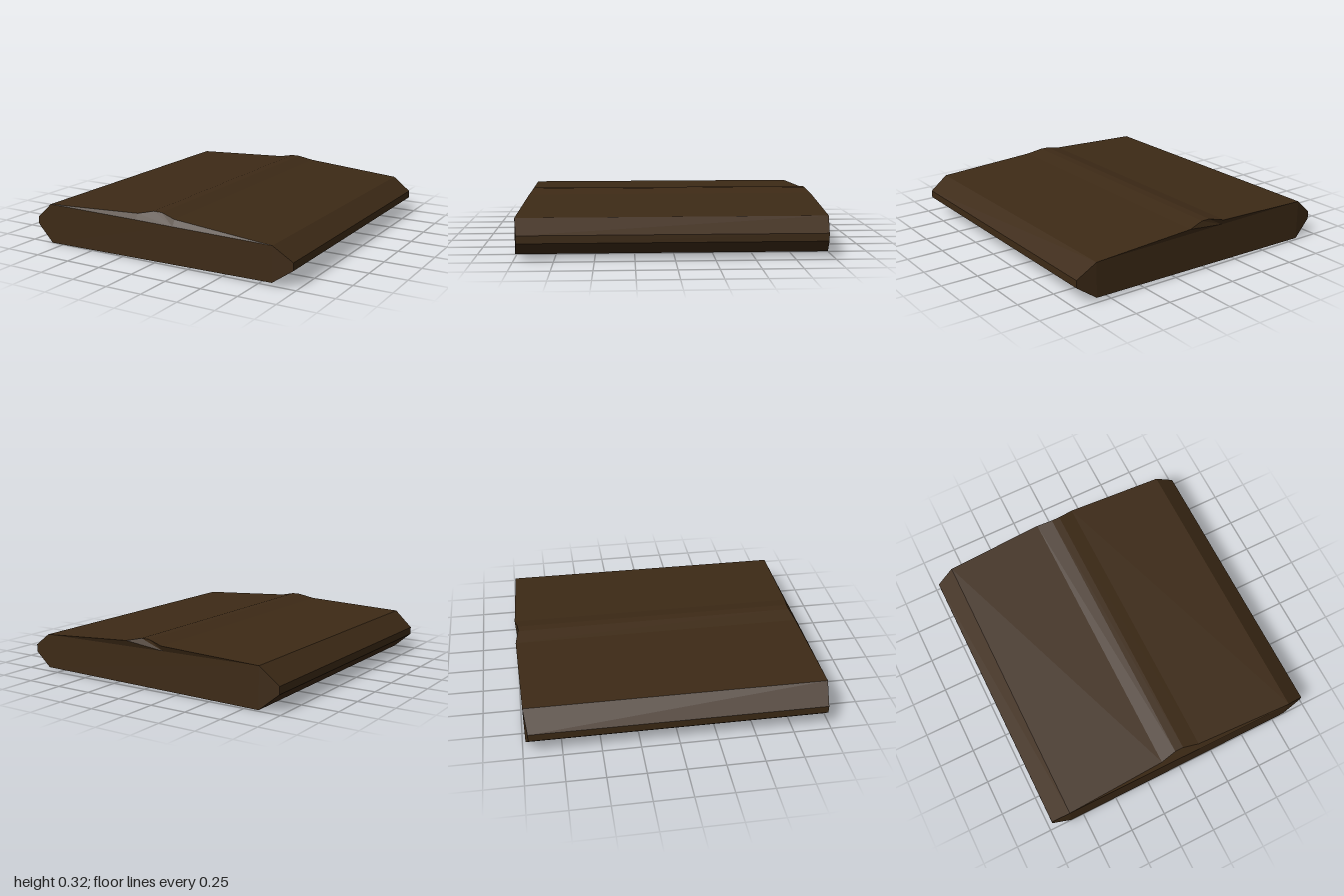
import * as THREE from 'three';

// Outline of the slab, counter-clockwise from the front: x, y, front z, back z
const OUTLINE = [
  [-0.84, 0, 1, -0.98], [0.84, 0.02, 1, -0.98],            // underside
  [0.97, 0.11, 0.98, -0.96], [0.97, 0.16, 0.98, -0.96],    // left edge
  [0.84, 0.25, 1, -0.98], [0.14, 0.3, 0.975, -1],          // top
  [0.03, 0.325, 0.955, -0.98], [-0.03, 0.325, 0.955, -0.98], // ridge
  [-0.14, 0.3, 0.975, -1], [-0.84, 0.27, 1, -0.98],
  [-0.97, 0.16, 0.98, -0.96], [-0.97, 0.11, 0.98, -0.96],  // right edge
];

// Creases across the end faces, below the ridge
const CREASE = [[0.14, 0.259, 1, -0.98], [-0.14, 0.263, 1, -0.98]];

// Facets of one end: upright face, corner chamfers, sloping lip
const END_FACETS = [
  [0, 1, 4, 12, 13, 9], [1, 2, 3, 4], [0, 9, 10, 11],
  [4, 5, 12], [12, 5, 6, 7, 8, 13], [13, 8, 9],
];

function slabGeometry() {
  const points = [...OUTLINE, ...CREASE];
  const n = points.length;
  const position = [
    ...points.flatMap(([x, y, front]) => [x, y, front]),
    ...points.flatMap(([x, y, , back]) => [x, y, back]),
  ];
  const index = [];
  const fan = (f) => {
    for (let i = 1; i < f.length - 1; i++) index.push(f[0], f[i], f[i + 1]);
  };
  // Long faces running front to back
  OUTLINE.forEach((_, i) => {
    const j = (i + 1) % OUTLINE.length;
    fan([i, i + n, j + n, j]);
  });
  // Front end, and the back end with reversed winding
  for (const facet of END_FACETS) {
    fan(facet);
    fan(facet.map((i) => i + n).reverse());
  }
  const geometry = new THREE.BufferGeometry();
  geometry.setAttribute('position', new THREE.Float32BufferAttribute(position, 3));
  geometry.setIndex(index);
  const flat = geometry.toNonIndexed();
  flat.computeVertexNormals();
  return flat;
}

export function createModel() {
  const group = new THREE.Group();
  group.name = 'slab';
  const material = new THREE.MeshStandardMaterial({ color: 0x3d2a16, flatShading: true });
  const body = new THREE.Mesh(slabGeometry(), material);
  body.name = 'slabBody';
  group.add(body);
  return group;
}
